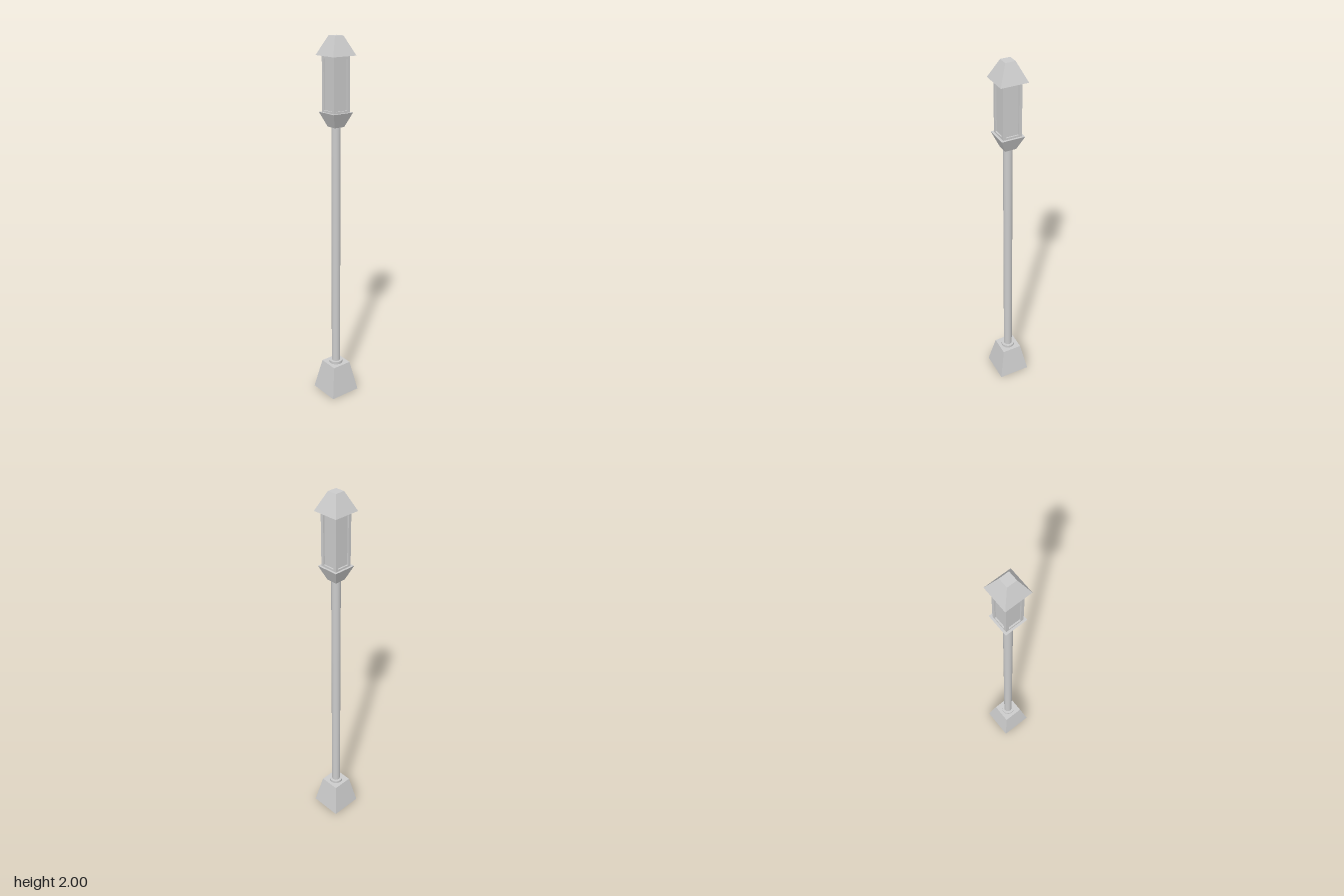
import * as THREE from 'three';

const material = new THREE.MeshStandardMaterial({ color: 0xcccccc });
const flatMaterial = new THREE.MeshStandardMaterial({ color: 0xcccccc, flatShading: true });

export function createModel() {
  const model = new THREE.Group();

  const add = (name, geometry, x, y, z, mat = flatMaterial) => {
    const mesh = new THREE.Mesh(geometry, mat);
    mesh.name = name;
    mesh.position.set(x, y, z);
    model.add(mesh);
  };

  // Square tapered block given by its half widths and heights
  const taper = (name, halfBottom, halfTop, y0, y1) => {
    const g = new THREE.CylinderGeometry(halfTop * Math.SQRT2, halfBottom * Math.SQRT2, y1 - y0, 4);
    g.rotateY(Math.PI / 4);
    add(name, g, 0, (y0 + y1) / 2, 0);
  };

  const box = (name, w, x, z, y0, y1) =>
    add(name, new THREE.BoxGeometry(w, y1 - y0, w), x, (y0 + y1) / 2, z);

  const round = (name, r, y0, y1) =>
    add(name, new THREE.CylinderGeometry(r, r, y1 - y0, 16), 0, (y0 + y1) / 2, 0, material);

  // Foot and pole
  taper('base', 0.09, 0.056, 0, 0.175);
  round('collar', 0.038, 0.175, 0.19);
  round('pole', 0.024, 0.19, 1.555);

  // Lantern: flared cup, recessed panes, frame and roof
  taper('lanternCup', 0.03, 0.062, 1.55, 1.625);
  box('panes', 0.084, 0, 0, 1.635, 1.89);
  box('bottomRail', 0.1, 0, 0, 1.625, 1.635);
  box('topRail', 0.1, 0, 0, 1.89, 1.905);
  for (const sx of [-1, 1]) {
    for (const sz of [-1, 1]) {
      box('cornerPost', 0.016, sx * 0.042, sz * 0.042, 1.635, 1.89);
    }
  }
  taper('roof', 0.072, 0.026, 1.905, 2);

  return model;
}
